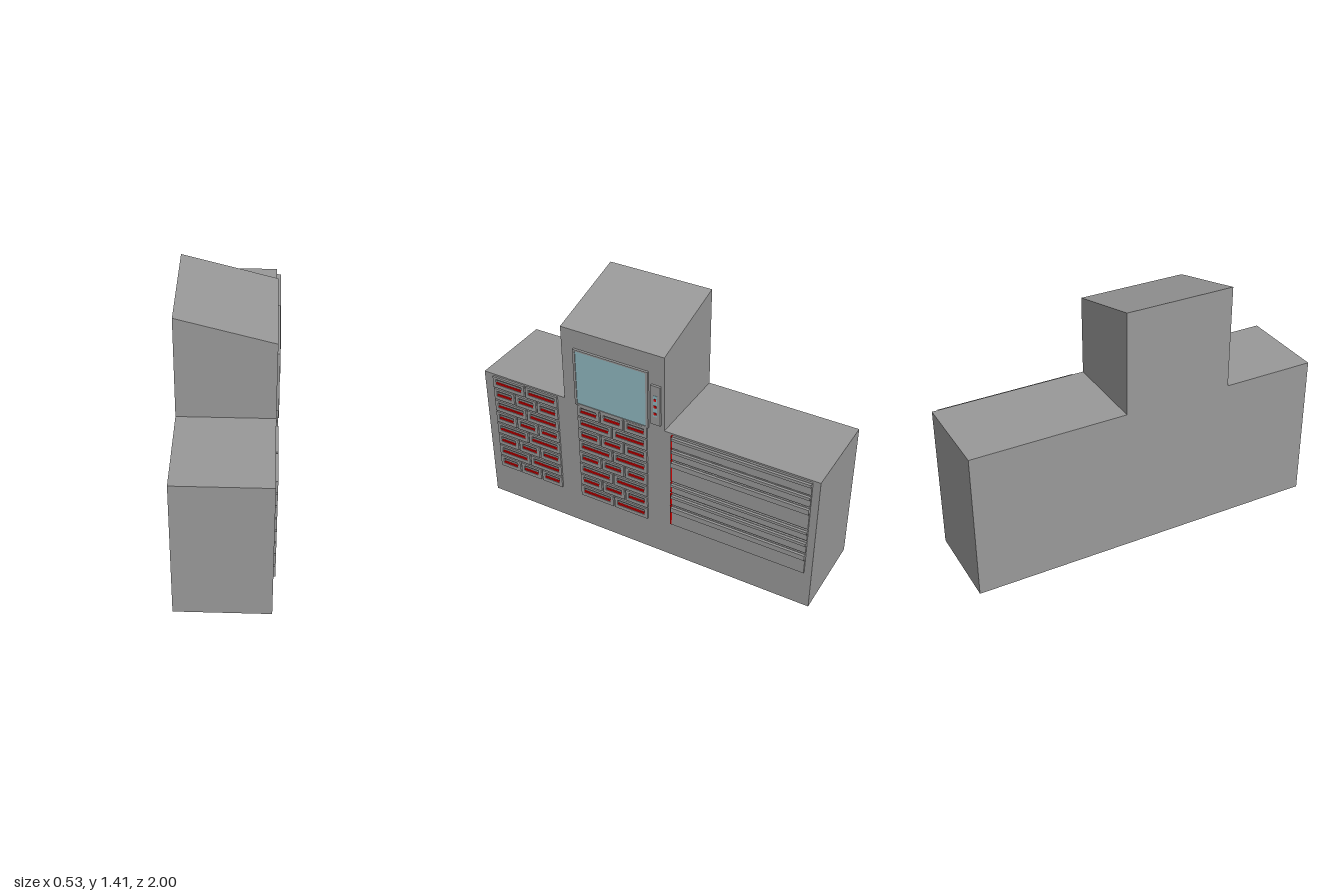
import * as THREE from 'three';

const mat = (name, color) => new THREE.MeshStandardMaterial({ name, color });

export function createModel() {
  const grey = mat('cabinet grey', 0x999999);
  const dark = mat('recess dark grey', 0x4c4c4c);
  const red = mat('label red', 0xf00000);
  const blue = mat('screen blue', 0x90b8c0);
  const root = new THREE.Group();
  const FRONT = 0.237, BACK = -0.265;

  const group = (name) => {
    const g = new THREE.Group();
    g.name = name;
    root.add(g);
    return g;
  };
  // Box given by its limits on each axis
  const box = (parent, name, material, x0, x1, y0, y1, z0, z1) => {
    const m = new THREE.Mesh(new THREE.BoxGeometry(x1 - x0, y1 - y0, z1 - z0), material);
    m.position.set((x0 + x1) / 2, (y0 + y1) / 2, (z0 + z1) / 2);
    m.name = name;
    parent.add(m);
    return m;
  };
  const rect = (Type, x0, x1, y0, y1) => new Type([
    [x0, y0], [x1, y0], [x1, y1], [x0, y1],
  ].map(([x, y]) => new THREE.Vector2(x, y)));
  // Plate on the cabinet face with a rectangular opening
  const frame = (parent, name, depth, y0, y1, z0, z1, hole) => {
    const shape = rect(THREE.Shape, -z1, -z0, y0, y1);
    shape.holes.push(rect(THREE.Path, -hole[3], -hole[2], hole[0], hole[1]));
    const geo = new THREE.ExtrudeGeometry(shape, { depth, bevelEnabled: false });
    const m = new THREE.Mesh(geo.rotateY(Math.PI / 2), grey);
    m.position.x = FRONT;
    m.name = name;
    parent.add(m);
  };

  // Long base and slope-topped tower
  box(root, 'base', grey, BACK, FRONT, 0, 0.835, -1, 1);
  const profile = new THREE.Shape([
    [BACK, 0.835], [FRONT, 0.835], [FRONT, 1.28], [BACK, 1.415],
  ].map(([x, y]) => new THREE.Vector2(x, y)));
  const tower = new THREE.Mesh(
    new THREE.ExtrudeGeometry(profile, { depth: 0.61, bevelEnabled: false }), grey);
  tower.position.z = -0.135;
  tower.name = 'tower';
  root.add(tower);

  // Two banks of small drawers, rows alternating between two and three
  const drawerBank = (name, zMax, zMin, firstCount) => {
    const bank = group(name);
    for (let row = 0; row < 8; row++) {
      const count = row % 2 ? 5 - firstCount : firstCount;
      const top = 0.825 - row * 0.0785, bottom = top - 0.07;
      const pitch = (zMax - zMin + 0.01) / count;
      for (let i = 0; i < count; i++) {
        const z1 = zMax - i * pitch, z0 = z1 - pitch + 0.01;
        const h0 = bottom + 0.022, h1 = top - 0.014;
        const s0 = z0 + 0.018, s1 = z1 - 0.018;
        frame(bank, 'smallDrawer', 0.011, bottom, top, z0, z1, [h0, h1, s0, s1]);
        box(bank, 'drawerRecess', dark, FRONT, FRONT + 0.002, h1 - 0.014, h1, s0, s1);
        box(bank, 'drawerLabel', red, FRONT, FRONT + 0.008, h0, h0 + 0.01, s0, s1);
      }
    }
  };
  drawerBank('leftDrawerBank', 0.94, 0.52, 2);
  drawerBank('middleDrawerBank', 0.39, -0.035, 3);

  // Wide drawers with full-length lip handles and red end strips
  const wide = group('wideDrawers');
  [[0.75, 0.825, 0.02], [0.675, 0.745, 0.02], [0.53, 0.667, 0.034],
    [0.455, 0.52, 0.018], [0.37, 0.443, 0.02], [0.23, 0.362, 0.034]].forEach(([y0, y1, lip]) => {
    box(wide, 'wideDrawer', grey, FRONT, 0.248, y0, y1, -0.96, -0.187);
    box(wide, 'drawerLip', grey, 0.248, 0.262, y1 - lip, y1 - 0.003, -0.96, -0.187);
    box(wide, 'endStrip', red, FRONT, 0.248, y0, y1, -0.187, -0.177);
  });

  // Display screen
  const display = group('display');
  frame(display, 'screenFrame', 0.013, 0.827, 1.172, -0.045, 0.4, [0.836, 1.163, -0.032, 0.387]);
  box(display, 'screen', blue, FRONT, FRONT + 0.009, 0.836, 1.163, -0.032, 0.387);

  // Control panel beside the screen
  const controls = group('controlPanel');
  box(controls, 'panel', grey, FRONT, 0.25, 0.865, 1.103, -0.117, -0.062);
  box(controls, 'panelDisplay', blue, 0.25, 0.251, 0.915, 1.045, -0.1, -0.078);
  for (const y of [0.935, 0.978, 1.02]) {
    box(controls, 'button', red, 0.251, 0.254, y - 0.007, y + 0.007, -0.096, -0.082);
  }
  return root;
}
